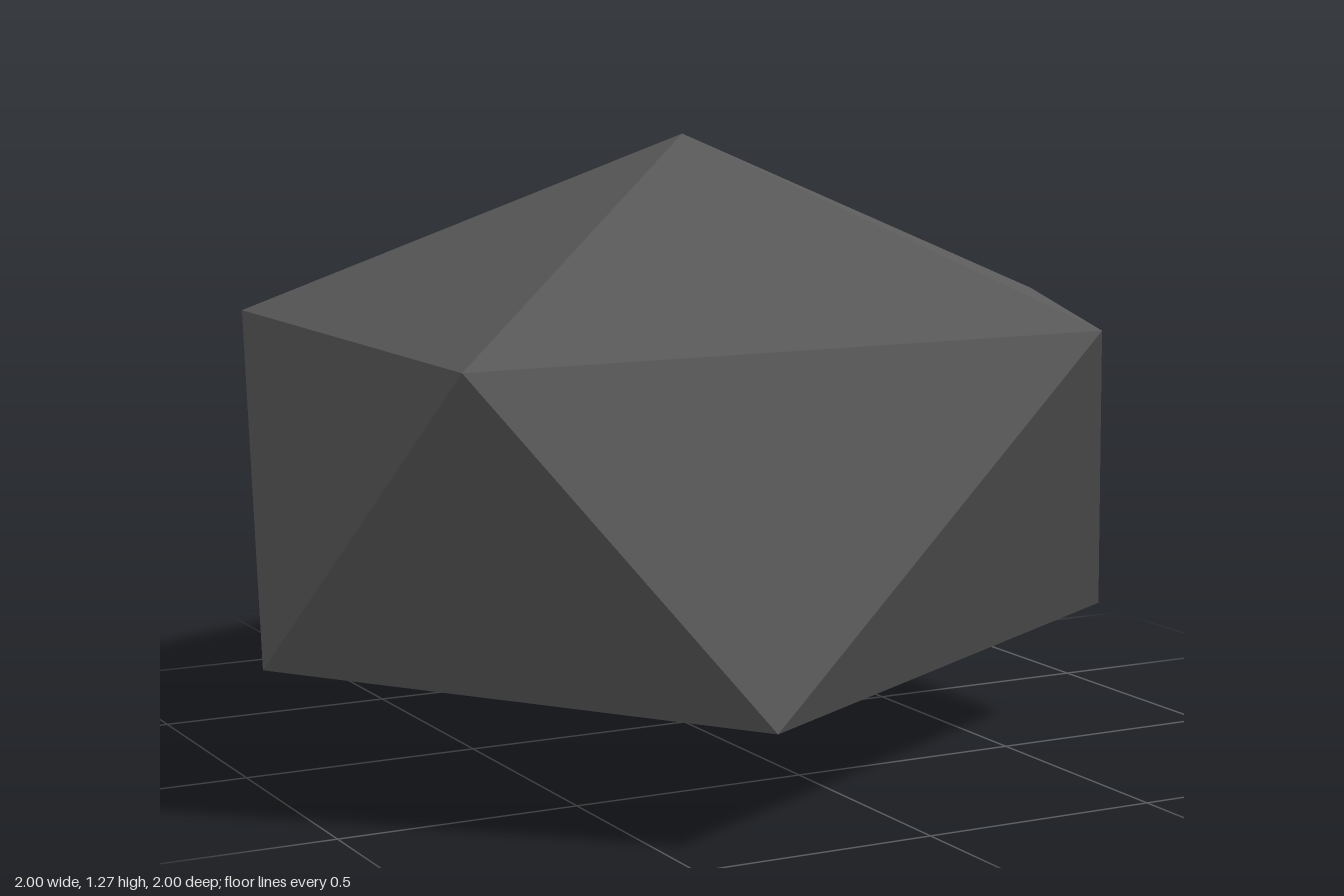
import * as THREE from 'three';

// Two staggered five-sided rings, ordered counter-clockwise seen from above
const upperRing = [
  [0.37, 0.94, 1.0], [0.995, 0.88, -0.17], [0.32, 0.88, -0.97], [-0.81, 0.89, -0.5], [-0.8, 0.89, 0.65],
];
const lowerRing = [
  [-0.32, 0.23, 0.98], [0.8, 0.26, 0.4], [0.8, 0.26, -0.7], [-0.32, 0.22, -1.0], [-1.0, 0.245, 0.11],
];
const peak = [0.01, 1.27, -0.03];
const base = [0.01, 0, -0.03];

function rockGeometry() {
  const corners = [];
  const face = (...points) => corners.push(...points.flat());
  for (let i = 0; i < 5; i++) {
    const j = (i + 1) % 5;
    face(peak, upperRing[i], upperRing[j]); // cap
    face(lowerRing[i], lowerRing[j], upperRing[i]); // sides pointing up
    face(upperRing[i], lowerRing[j], upperRing[j]); // sides pointing down
    face(base, lowerRing[j], lowerRing[i]); // underside
  }
  const geometry = new THREE.BufferGeometry();
  geometry.setAttribute('position', new THREE.Float32BufferAttribute(corners, 3));
  geometry.computeVertexNormals();
  return geometry;
}

export function createModel() {
  const model = new THREE.Group();
  model.name = 'rockModel';
  const stone = new THREE.MeshStandardMaterial({ color: 0x5a5a5a, flatShading: true });
  const rock = new THREE.Mesh(rockGeometry(), stone);
  rock.name = 'rock';
  model.add(rock);
  return model;
}
